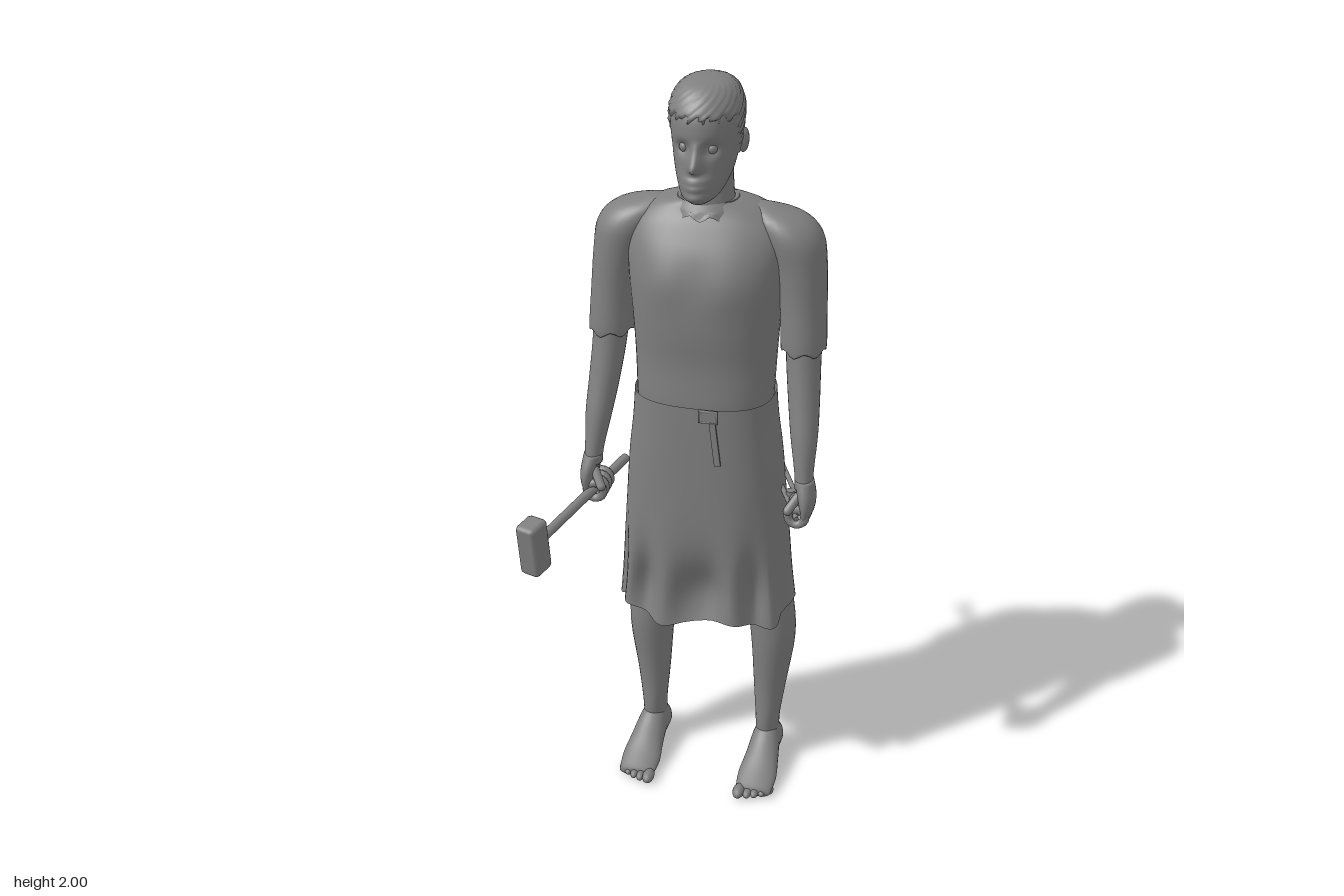
import * as THREE from 'three';
import { RoundedBoxGeometry } from 'three/addons/geometries/RoundedBoxGeometry.js';

const MID = 0.036; // body centre line in x
const grey = new THREE.MeshStandardMaterial({ color: 0x808080, side: THREE.DoubleSide });
grey.name = 'plain grey';

const bump = (d, w) => Math.exp(-(d * d) / (w * w));
const clamp01 = (v) => Math.min(1, Math.max(0, v));

// Catmull-Rom smoothing of section rows
function smoothRows(rows, steps) {
  const out = [];
  for (let i = 0; i < rows.length - 1; i++) {
    const a = rows[Math.max(0, i - 1)], b = rows[i], c = rows[i + 1], d = rows[Math.min(rows.length - 1, i + 2)];
    for (let k = 0; k < steps; k++) {
      const t = k / steps;
      out.push(b.map((_, n) => b[n] + 0.5 * t * (c[n] - a[n] + t * (2 * a[n] - 5 * b[n] + 4 * c[n] - d[n] + t * (3 * (b[n] - c[n]) + d[n] - a[n])))));
    }
  }
  out.push(rows[rows.length - 1]);
  return out;
}

// Loft of ellipses. Row: [along, centre1, centre2, radius1, radius2].
// axis 'y' runs upwards (x, z sections); axis 'z' runs from front to back (x, y sections).
function loft(rows, { axis = 'y', n = 28, pow = 1, steps = 4, mod = null, open = false } = {}) {
  const rings = smoothRows(rows, steps), pos = [], idx = [];
  const put = (t, u, v, a) => {
    const p = axis === 'y' ? new THREE.Vector3(u, t, v) : new THREE.Vector3(u, v, t);
    if (mod) mod(p, a);
    pos.push(p.x, p.y, p.z);
  };
  const se = (v) => Math.sign(v) * Math.pow(Math.abs(v), pow);
  for (const [t, c1, c2, r1, r2] of rings)
    for (let j = 0; j < n; j++) {
      const a = (j / n) * Math.PI * 2;
      put(t, c1 + r1 * se(Math.cos(a)), c2 + r2 * se(Math.sin(a)), a);
    }
  const last = rings.length - 1;
  for (let i = 0; i < last; i++)
    for (let j = 0; j < n; j++) {
      const a = i * n + j, b = i * n + ((j + 1) % n);
      idx.push(a, a + n, b, b, a + n, b + n);
    }
  if (!open) {
    const base = pos.length / 3;
    for (const r of [rings[0], rings[last]]) put(r[0], r[1], r[2], 0);
    for (let j = 0; j < n; j++) {
      const k = (j + 1) % n;
      idx.push(base, j, k, base + 1, last * n + k, last * n + j);
    }
  }
  const g = new THREE.BufferGeometry();
  g.setAttribute('position', new THREE.Float32BufferAttribute(pos, 3));
  g.setIndex(idx);
  g.computeVertexNormals();
  return g;
}

function add(parent, name, geo, x = 0, y = 0, z = 0) {
  const m = new THREE.Mesh(geo, grey);
  m.name = name;
  m.position.set(x, y, z);
  parent.add(m);
  return m;
}

// Round bar between two points
function bar(parent, name, a, b, r) {
  const d = b.clone().sub(a);
  const m = add(parent, name, new THREE.CylinderGeometry(r, r, d.length(), 10));
  m.position.copy(a).add(b).multiplyScalar(0.5);
  m.quaternion.setFromUnitVectors(new THREE.Vector3(0, 1, 0), d.normalize());
  return m;
}

function buildHead(body) {
  const skull = [
    [1.722, 0, 0.095, 0.022, 0.03], [1.738, 0, 0.075, 0.045, 0.066], [1.77, 0, 0.045, 0.062, 0.098],
    [1.81, 0, 0.03, 0.073, 0.106], [1.85, 0, 0.024, 0.079, 0.108], [1.89, 0, 0.025, 0.083, 0.11],
    [1.93, 0, 0.022, 0.083, 0.106], [1.965, 0, 0.015, 0.07, 0.088], [1.985, 0, 0.012, 0.047, 0.06], [1.993, 0, 0.01, 0.012, 0.016]];
  add(body, 'head', loft(skull, {
    n: 72, steps: 6, mod: (p) => {
      if (p.z < 0.06) return;
      const x = Math.abs(p.x), y = p.y;
      p.z -= 0.017 * bump(x - 0.033, 0.019) * bump(y - 1.855, 0.015);                    // eye sockets
      p.z += 0.034 * bump(x, 0.014) * clamp01((1.878 - y) / 0.055) * clamp01((y - 1.797) / 0.016); // nose
      p.z += 0.008 * bump(x, 0.03) * (bump(y - 1.783, 0.007) + bump(y - 1.766, 0.007));  // lips
      p.z += 0.008 * bump(x, 0.03) * bump(y - 1.742, 0.012);                             // chin
    }
  }));
  // short hair, tucked under the skin below the hairline
  const hair = skull.filter((r) => r[0] > 1.8).map(([t, a, b, c, d]) => [t + 0.006, a, b - 0.002, c + 0.005, d + 0.006]);
  add(body, 'hair', loft(hair, {
    n: 60, steps: 5, mod: (p, a) => {
      const front = Math.sin(a), rag = 0.008 * Math.sin(a * 17) + 0.004 * Math.sin(a * 31);
      const line = 1.8 + 0.125 * clamp01((front + 0.25) / 0.7) + rag;
      const k = p.y < line ? 0.88 : 1 + 0.02 * Math.sin(a * 23 + p.y * 310);
      p.x *= k;
      p.z = 0.02 + (p.z - 0.02) * k;
    }
  }));
  for (const s of [1, -1]) {
    add(body, 'eye', new THREE.SphereGeometry(0.013, 14, 10), s * 0.033, 1.855, 0.104);
    const ear = add(body, 'ear', new THREE.SphereGeometry(0.03, 14, 10), s * 0.083, 1.845, -0.005);
    ear.scale.set(0.35, 1, 0.6);
    ear.rotation.set(-0.15, s * -0.35, 0);
  }
  add(body, 'neck', loft([[1.64, 0, 0, 0.075, 0.075], [1.7, 0, 0.008, 0.066, 0.068], [1.75, 0, 0.006, 0.061, 0.064], [1.81, 0, 0.006, 0.06, 0.066]]));
}

function buildClothes(body) {
  add(body, 'tunic', loft([
    [1.15, 0, 0.02, 0.172, 0.125], [1.2, 0, 0.02, 0.174, 0.13], [1.3, 0, 0.015, 0.178, 0.131], [1.4, 0, 0.012, 0.184, 0.142],
    [1.5, 0, 0.005, 0.194, 0.146], [1.58, 0, -0.005, 0.2, 0.137], [1.64, 0, -0.012, 0.19, 0.113],
    [1.68, 0, -0.01, 0.145, 0.086], [1.7, 0, 0, 0.09, 0.068], [1.705, 0, 0.005, 0.06, 0.06]], {
    n: 48, pow: 0.85, mod: (p, a) => {
      const s = Math.sin(a), x = Math.abs(p.x);
      if (s > 0.3) p.z += 0.009 * bump(x - 0.08, 0.05) * bump(p.y - 1.52, 0.06); // chest
      if (s < -0.3) p.z += 0.02 * bump(x, 0.035) * bump(p.y - 1.42, 0.17);       // spine
    }
  }));
  // ragged neckline
  add(body, 'collar', loft([[1.672, 0, 0.006, 0.092, 0.088], [1.69, 0, 0.005, 0.086, 0.078], [1.705, 0, 0.004, 0.074, 0.07]], {
    n: 48, open: true, mod: (p, a) => { if (p.y < 1.685) p.y += 0.007 * Math.sin(a * 11); }
  }));
  // skirt with folds that deepen towards an uneven hem
  add(body, 'skirt', loft([
    [0.555, 0, -0.008, 0.23, 0.172], [0.65, 0, -0.003, 0.222, 0.168], [0.8, 0, 0.003, 0.213, 0.16],
    [1, 0, 0.012, 0.198, 0.148], [1.12, 0, 0.018, 0.184, 0.14], [1.2, 0, 0.02, 0.178, 0.136]], {
    n: 96, pow: 0.76, steps: 6, open: true, mod: (p, a) => {
      const low = clamp01((0.95 - p.y) / 0.4), fold = Math.cos(a * 10 + 0.6), s = Math.sin(a);
      const k = 1 + 0.035 * low * fold;
      p.x *= k;
      p.z *= k;
      if (s > 0.2) p.z -= 0.05 * s * bump(p.y - 0.64, 0.1) * (0.55 - 0.45 * fold);
      if (s < -0.2) p.z -= 0.012 * s * bump(p.y - 0.62, 0.1);
      p.y += 0.014 * low * low * Math.cos(a * 5);
    }
  }));
  // buckle and hanging strap
  const buckle = add(body, 'buckle', new THREE.TorusGeometry(0.021, 0.005, 6, 4), 0.04, 1.183, 0.16);
  buckle.geometry.rotateZ(Math.PI / 4);
  buckle.scale.set(1.3, 1, 1);
  add(body, 'bucklePlate', new THREE.BoxGeometry(0.036, 0.026, 0.008), 0.04, 1.183, 0.159);
  const strap = add(body, 'strap', new THREE.BoxGeometry(0.016, 0.12, 0.006), 0.058, 1.11, 0.163);
  strap.rotation.z = 0.12;
}

function buildLimbs(body, s, side) {
  const flip = (rows) => rows.map(([t, x, ...r]) => [t, x * s, ...r]);
  const arm = new THREE.Group();
  arm.name = side + 'Arm';
  body.add(arm);
  add(arm, 'sleeve', loft(flip([
    [1.335, 0.246, 0.017, 0.052, 0.06], [1.345, 0.246, 0.016, 0.057, 0.066], [1.45, 0.24, 0.003, 0.058, 0.072],
    [1.55, 0.226, -0.008, 0.066, 0.082], [1.62, 0.203, -0.01, 0.077, 0.083], [1.665, 0.17, -0.01, 0.066, 0.062], [1.69, 0.13, -0.01, 0.02, 0.02]]),
    { mod: (p, a) => { if (p.y < 1.342) p.y += 0.007 * Math.sin(a * 6); } }));
  add(arm, 'forearm', loft(flip([
    [0.99, 0.277, 0.11, 0.024, 0.032], [1.03, 0.274, 0.104, 0.024, 0.031], [1.12, 0.267, 0.08, 0.034, 0.04],
    [1.2, 0.259, 0.054, 0.039, 0.046], [1.3, 0.25, 0.028, 0.043, 0.051], [1.4, 0.245, 0.01, 0.046, 0.055]])));
  add(arm, 'palm', loft(flip([
    [0.905, 0.283, 0.11, 0.012, 0.038], [0.94, 0.287, 0.111, 0.019, 0.048], [0.975, 0.284, 0.111, 0.023, 0.046], [1.015, 0.276, 0.108, 0.024, 0.032]])));
  for (let i = 0; i < 4; i++)
    add(arm, 'finger', new THREE.TorusGeometry(0.022, 0.0115, 8, 18), s * 0.265, 0.923 - i * 0.001, 0.075 + i * 0.022);
  const thumb = add(arm, 'thumb', new THREE.CapsuleGeometry(0.012, 0.045, 4, 10), s * 0.255, 0.957, 0.142);
  thumb.rotation.set(-0.6, 0, s * -0.5);

  const leg = new THREE.Group();
  leg.name = side + 'Leg';
  body.add(leg);
  add(leg, 'shin', loft(flip([
    [0.05, 0.166, -0.065, 0.034, 0.05], [0.13, 0.165, -0.054, 0.033, 0.048], [0.25, 0.168, -0.062, 0.045, 0.056],
    [0.41, 0.173, -0.065, 0.061, 0.074], [0.55, 0.159, -0.056, 0.066, 0.071], [0.72, 0.125, -0.02, 0.078, 0.082], [0.9, 0.1, 0, 0.085, 0.09]])));
  add(leg, 'foot', loft(flip([
    [0.145, 0.168, 0.016, 0.048, 0.016], [0.09, 0.168, 0.026, 0.054, 0.03], [0.03, 0.168, 0.042, 0.047, 0.046],
    [-0.035, 0.166, 0.058, 0.04, 0.062], [-0.095, 0.166, 0.045, 0.038, 0.05], [-0.128, 0.166, 0.032, 0.022, 0.03]]),
    { axis: 'z', mod: (p) => { p.y = Math.max(0.002, p.y); } }));
  for (let i = 0; i < 5; i++) {
    const r = i ? 0.0125 - i * 0.0006 : 0.0165;
    const toe = add(leg, 'toe', new THREE.SphereGeometry(r, 12, 8), s * (0.13 + (i ? 0.004 + i * 0.0195 : 0)), r, 0.153 - i * i * 0.002);
    toe.scale.z = 1.7;
  }
}

function buildTools(model) {
  const V = (x, y, z) => new THREE.Vector3(x, y, z);
  // hammer in the right hand
  const hammer = new THREE.Group();
  hammer.name = 'hammer';
  const top = V(-0.315, 0.885, 0.395), end = V(-0.19, 0.94, -0.01);
  bar(hammer, 'hammerHandle', end, top, 0.0125);
  const head = add(hammer, 'hammerHead', new RoundedBoxGeometry(0.056, 0.145, 0.066, 1, 0.011));
  head.position.set(-0.312, 0.886, 0.388);
  head.rotation.set(0.1, -0.3, 0, 'YXZ');
  // tongs in the left hand: two slim bars joined by a rivet
  const tongs = new THREE.Group();
  tongs.name = 'tongs';
  for (const s of [1, -1]) {
    const off = V(0.01, 0.005, -0.005).multiplyScalar(s);
    bar(tongs, 'tongsBar', V(0.034, 0.975, -0.42).add(off), V(0.312, 0.92, 0.14).add(off), 0.0065);
  }
  const rivet = add(tongs, 'rivet', new THREE.CylinderGeometry(0.012, 0.012, 0.024, 10));
  rivet.position.set(0.267, 0.929, 0.05);
  model.add(hammer, tongs);
}

export function createModel() {
  const model = new THREE.Group();
  model.name = 'blacksmith';
  const body = new THREE.Group();
  body.name = 'body';
  body.position.x = MID;
  model.add(body);
  buildHead(body);
  buildClothes(body);
  buildLimbs(body, 1, 'left');
  buildLimbs(body, -1, 'right');
  buildTools(model);
  return model;
}
